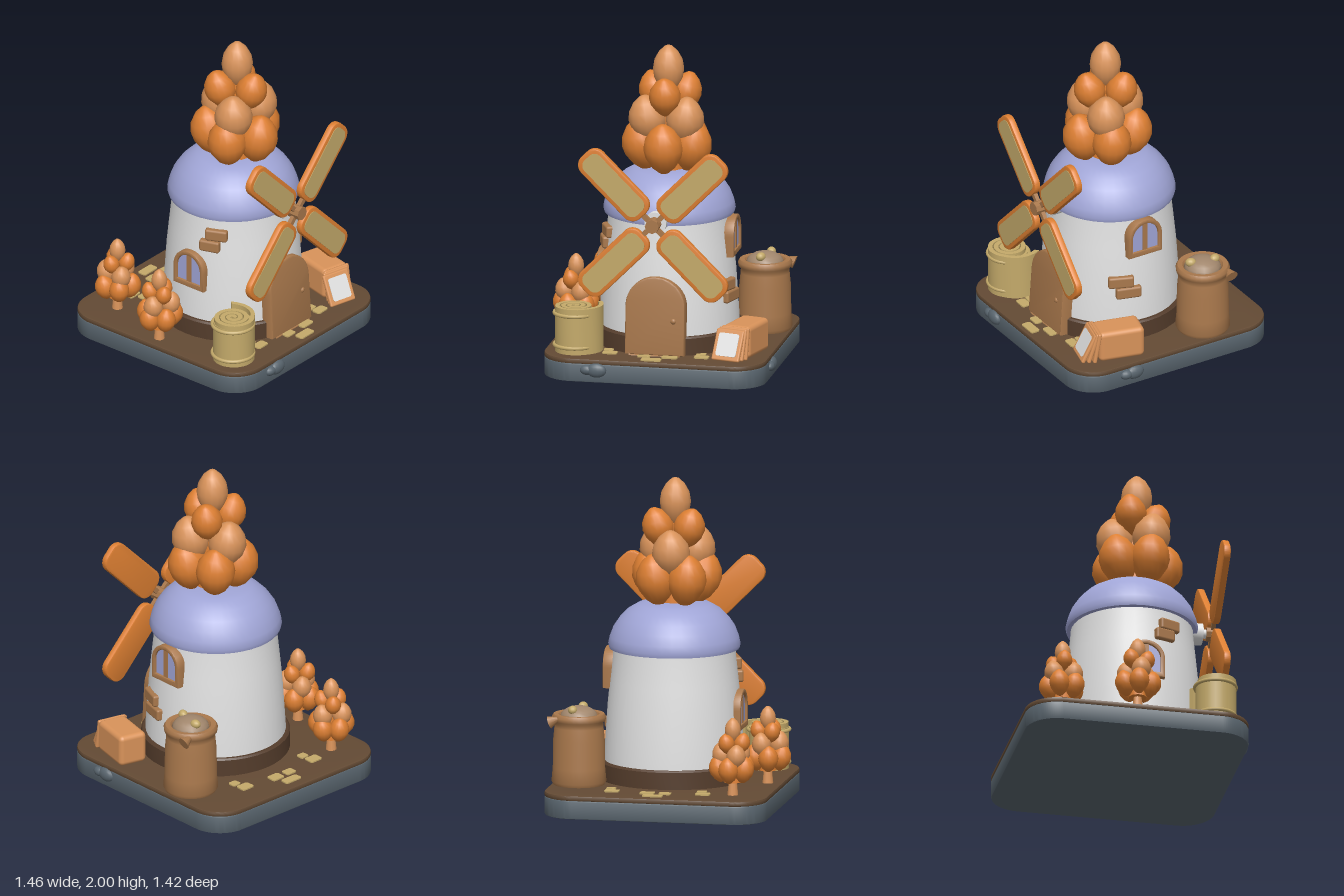
import * as THREE from 'three';
import { toCreasedNormals } from 'three/addons/utils/BufferGeometryUtils.js';
import { RoundedBoxGeometry } from 'three/addons/geometries/RoundedBoxGeometry.js';

const mat = (name, color) => {
  const m = new THREE.MeshStandardMaterial({ color });
  m.name = name;
  return m;
};

export function createModel() {
  const stone = mat('stone', 0x59656e), soil = mat('soil', 0x634a34), darkWood = mat('dark wood', 0x553d2c);
  const white = mat('white plaster', 0xe2e2e2), lavender = mat('lavender', 0xa0a5d6);
  const orange = mat('orange', 0xdd7f32), peach = mat('light orange', 0xd9935a);
  const wood = mat('wood', 0xa9784c), straw = mat('straw', 0xc4aa6a), grain = mat('grain', 0xa1866c);

  const model = new THREE.Group();
  model.name = 'windmillHouse';
  const group = (name, parent = model, x = 0, y = 0, z = 0) => {
    const g = new THREE.Group();
    g.name = name;
    g.position.set(x, y, z);
    parent.add(g);
    return g;
  };
  const add = (name, geo, material, x = 0, y = 0, z = 0, parent = model) => {
    const m = new THREE.Mesh(geo, material);
    m.name = name;
    m.position.set(x, y, z);
    parent.add(m);
    return m;
  };
  const lathe = (pts, n = 40, crease = 0.6) =>
    toCreasedNormals(new THREE.LatheGeometry(pts.map(p => new THREE.Vector2(...p)), n), crease);
  const extrude = (shape, depth, bevel = 0) => toCreasedNormals(new THREE.ExtrudeGeometry(shape, {
    depth: depth - 2 * bevel, curveSegments: 12, bevelEnabled: bevel > 0,
    bevelSize: bevel, bevelThickness: bevel, bevelOffset: -bevel, bevelSegments: 2,
  }).translate(0, 0, bevel), 0.6);
  const roundRect = (w, h, r) => {
    const s = new THREE.Shape(), a = w / 2 - r, b = h / 2 - r;
    s.absarc(a, b, r, 0, Math.PI / 2);
    s.absarc(-a, b, r, Math.PI / 2, Math.PI);
    s.absarc(-a, -b, r, Math.PI, Math.PI * 1.5);
    s.absarc(a, -b, r, Math.PI * 1.5, Math.PI * 2);
    s.closePath();
    return s;
  };
  const arch = (w, h, y0 = 0, Type = THREE.Shape) => {
    const s = new Type();
    s.moveTo(-w, y0);
    s.lineTo(w, y0);
    s.lineTo(w, h - w);
    s.absarc(0, h - w, w, 0, Math.PI);
    s.closePath();
    return s;
  };
  const archFrame = (w, h, border, sill) => {
    const s = arch(w, h);
    s.holes.push(arch(w - border, h - border, sill, THREE.Path));
    return s;
  };

  // Ground slab
  add('stoneBase', extrude(roundRect(1.38, 1.39, 0.2), 0.115, 0.008).rotateX(-Math.PI / 2), stone, 0, 0, -0.015);
  add('soilTop', extrude(roundRect(1.38, 1.39, 0.2), 0.032, 0.008).rotateX(-Math.PI / 2), soil, 0, 0.113, -0.015);
  const pebble = new THREE.SphereGeometry(1, 14, 10);
  for (const [x, z, ax, az, r] of [[-0.39, 0.675, 0, 1, 0.035], [-0.33, 0.68, 0, 1, 0.05],
    [0.685, 0.36, 1, 0, 0.035], [0.685, 0.3, 1, 0, 0.05]]) {
    add('pebble', pebble, stone, x, 0.078, z).scale.set(ax ? 0.032 : r * 1.25, r * 0.9, az ? 0.032 : r * 1.25);
  }

  // Paving tiles: x, z, width, depth
  for (const [x, z, w, d] of [[0, -0.62, 0.125, 0.06], [-0.06, -0.535, 0.075, 0.06], [0.05, -0.535, 0.09, 0.07],
    [-0.29, -0.505, 0.09, 0.07], [-0.27, -0.43, 0.06, 0.055], [0.275, -0.505, 0.09, 0.07], [0.295, -0.43, 0.06, 0.055],
    [-0.28, 0.505, 0.09, 0.06], [-0.3, 0.44, 0.06, 0.055], [0.29, 0.505, 0.09, 0.06], [0.275, 0.44, 0.06, 0.055],
    [0, 0.625, 0.125, 0.06], [-0.06, 0.55, 0.08, 0.05], [0.1, 0.55, 0.1, 0.05]]) {
    add('pavingTile', extrude(roundRect(w, d, 0.014), 0.015).rotateX(-Math.PI / 2), straw, x, 0.138, z);
  }

  // Tower and roof
  const tower = group('tower', model, 0, 0, 0.06);
  add('foundation', lathe([[0, 0.14], [0.455, 0.14], [0.455, 0.25], [0.445, 0.26], [0, 0.26]]), darkWood, 0, 0, 0, tower);
  add('wall', lathe([[0, 0.2], [0.43, 0.2], [0.428, 0.3], [0.418, 0.45], [0.408, 0.6], [0.393, 0.75], [0.377, 0.9],
    [0.372, 0.98], [0, 0.98]]), white, 0, 0, 0, tower);
  add('roof', lathe([[0, 0.95], [0.36, 0.945], [0.398, 0.95], [0.405, 0.975], [0.395, 1.02], [0.372, 1.08],
    [0.335, 1.135], [0.285, 1.185], [0.225, 1.22], [0.17, 1.232], [0, 1.235]]), lavender, 0, 0, 0, tower);

  // Arched side windows
  const addWindow = (side, y, out) => {
    const w = group('window', tower, side * (out - 0.08), y, 0);
    w.rotation.y = side * Math.PI / 2;
    add('windowFrame', extrude(archFrame(0.118, 0.245, 0.028, 0.035), 0.08, 0.008), wood, 0, 0, 0, w);
    add('windowGlass', extrude(arch(0.095, 0.222, 0.03), 0.065), lavender, 0, 0, 0, w);
    add('windowBar', new THREE.BoxGeometry(0.034, 0.2, 0.07), wood, 0, 0.125, 0.037, w);
  };
  addWindow(1, 0.7, 0.425);
  addWindow(-1, 0.46, 0.435);

  // Exposed wall bricks: angle from +z toward +x, height, wall radius, width
  for (const [a, y, r, w] of [[1.19, 0.537, 0.407, 0.16], [1.3, 0.463, 0.412, 0.16],
    [-1.15, 0.845, 0.38, 0.14], [-1.25, 0.77, 0.39, 0.13]]) {
    add('brick', new RoundedBoxGeometry(w, 0.075, 0.06, 2, 0.014), wood, Math.sin(a) * r, y, Math.cos(a) * r, tower).rotation.y = a;
  }

  // Door, leaning with the wall
  const door = group('door', model, 0, 0.145, 0.43);
  door.rotation.x = -0.07;
  add('doorFrame', extrude(archFrame(0.185, 0.485, 0.036, -0.0), 0.1, 0.01), wood, 0, 0, 0, door);
  add('doorPanel', extrude(arch(0.155, 0.455), 0.085), wood, 0, 0, 0, door);
  for (const x of [-0.075, 0, 0.075]) {
    const h = 0.44 - Math.abs(x) * 0.35;
    add('plankGap', new THREE.BoxGeometry(0.007, h, 0.004), darkWood, x, h / 2, 0.086, door);
  }
  add('doorRing', new THREE.TorusGeometry(0.023, 0.007, 8, 18), darkWood, 0.115, 0.215, 0.092, door);
  add('doorKnob', pebble, wood, 0.115, 0.215, 0.09, door).scale.setScalar(0.02);

  // Windmill hub and sails
  const mill = group('windmill', model, 0, 0.98, 0.56);
  const rod = (r, len, n = 16) => new THREE.CylinderGeometry(r, r, len, n).rotateX(Math.PI / 2);
  add('axleMount', toCreasedNormals(rod(0.068, 0.11, 24), 0.6), white, 0, -0.005, -0.12, mill);
  add('axle', rod(0.028, 0.12), white, 0, 0, -0.06, mill);
  add('hub', toCreasedNormals(rod(0.044, 0.085, 8), 0.4), wood, 0, 0, 0.003, mill);
  for (let i = 0; i < 4; i++) {
    const sail = group('sail', mill);
    sail.rotation.z = Math.PI / 4 + i * Math.PI / 2;
    add('sailFrame', extrude(roundRect(0.52, 0.19, 0.07), 0.042, 0.008), orange, 0.345, 0, -0.021, sail);
    add('sailCloth', extrude(roundRect(0.465, 0.137, 0.048), 0.006), straw, 0.345, 0, 0.018, sail);
    add('spoke', new THREE.BoxGeometry(0.11, 0.03, 0.026), wood, 0.06, 0, 0, sail);
  }

  // Layered bud plants
  const bud = lathe([[0, 0], [0.25, 0.03], [0.62, 0.16], [0.92, 0.36], [1, 0.52], [0.9, 0.7], [0.6, 0.87], [0.22, 0.98], [0, 1]], 16, 1.2);
  // Tiers: count, ring radius, base height, bud radius, bud height, tilt, first angle, material
  const tiers = [[5, 0.155, 0.0, 0.122, 0.33, 0.2, 0, orange], [3, 0.125, 0.17, 0.118, 0.31, 0.18, Math.PI / 3, peach],
    [3, 0.085, 0.35, 0.098, 0.26, 0.3, 0, orange], [1, 0, 0.47, 0.097, 0.31, 0, 0, peach]];
  const addPlant = (name, x, y, z, s, turn) => {
    const p = group(name, model, x, y, z);
    p.scale.setScalar(s);
    p.rotation.y = turn;
    add('core', new THREE.CylinderGeometry(0.06, 0.11, 0.5, 10), orange, 0, 0.25, 0, p);
    for (const [n, ring, h, r, tall, tilt, first, m] of tiers) {
      for (let i = 0; i < n; i++) {
        const arm = group('budArm', p);
        arm.rotation.y = first + i / n * Math.PI * 2;
        const b = add('bud', bud, m, 0, h, ring * 0.85, arm);
        b.scale.set(r, tall, r);
        b.rotation.x = tilt;
      }
    }
    return p;
  };
  addPlant('roofPlant', 0, 1.22, 0.09, 1, 0);
  for (const [x, z, turn] of [[-0.47, -0.47, 0.5], [-0.6, -0.03, -0.4]]) {
    addPlant('gardenPlant', x, 0.225, z, 0.51, turn);
    add('plantStem', new THREE.CylinderGeometry(0.022, 0.034, 0.12, 10), peach, x, 0.2, z);
  }

  // Grain sack
  const sack = group('grainSack', model, 0.525, 0, -0.285);
  add('sackCloth', lathe([[0, 0.14], [0.155, 0.14], [0.168, 0.165], [0.16, 0.25], [0.158, 0.42], [0.15, 0.5], [0.148, 0.525],
    [0.163, 0.54], [0.166, 0.565], [0.155, 0.582], [0.125, 0.58], [0.112, 0.56], [0, 0.55]], 32, 0.9), wood, 0, 0, 0, sack);
  add('grainHeap', pebble, grain, 0, 0.56, 0, sack).scale.set(0.116, 0.07, 0.116);
  const ear = add('sackEar', new THREE.ConeGeometry(0.04, 0.09, 10), wood, 0.12, 0.555, 0.115, sack);
  ear.position.z = -0.11;
  ear.rotation.z = 1.2;
  for (const [x, z, turn] of [[0.025, -0.07, 0.2], [-0.01, 0.08, -0.4]]) {
    const k = add('kernel', pebble, straw, x, 0.612, z, sack);
    k.scale.set(0.028, 0.028, 0.034);
    k.rotation.y = turn;
  }

  // Rolled straw mat: a spiral strip with a loose outer end
  const spiral = new THREE.Shape(), steps = 96, turns = 3.4;
  const spiralAt = (t, off) => {
    const a = 0.75 - (1 - t) * turns * Math.PI * 2;
    const r = 0.012 + 0.124 * t + off + Math.max(0, t - 0.93) * 0.75;
    return [Math.cos(a) * r, Math.sin(a) * r];
  };
  for (let i = 0; i <= steps; i++) spiral[i ? 'lineTo' : 'moveTo'](...spiralAt(i / steps, 0.006));
  for (let i = steps; i >= 0; i--) spiral.lineTo(...spiralAt(i / steps, -0.022));
  const roll = group('strawRoll', model, -0.505, 0.14, 0.475);
  add('rolledMat', extrude(spiral, 0.29).rotateX(-Math.PI / 2), straw, 0, 0, 0, roll);
  add('rollCore', new THREE.CylinderGeometry(0.122, 0.122, 0.262, 32), straw, 0, 0.131, 0, roll);
  for (const y of [0.045, 0.245]) {
    add('rollBand', new THREE.TorusGeometry(0.126, 0.012, 8, 36).rotateX(Math.PI / 2), straw, 0, y, 0, roll);
  }

  // Bale with leaning boards in front
  const bale = group('bale', model, 0.53, 0.145, 0.325);
  bale.rotation.y = -0.245;
  add('baleBlock', new RoundedBoxGeometry(0.185, 0.2, 0.29, 3, 0.03), peach, 0, 0.1, 0, bale);
  for (let i = 0; i < 3; i++) {
    const board = group('board', bale, -0.012 * i, 0, 0.175 + i * 0.035);
    board.rotation.x = -0.18 - i * 0.14;
    add('boardPanel', new RoundedBoxGeometry(0.185, 0.2, 0.024, 2, 0.01), peach, 0, 0.1, 0, board);
    if (i === 2) add('boardSheet', extrude(roundRect(0.135, 0.145, 0.015), 0.006), white, 0, 0.1, 0.01, board);
  }

  return model;
}
